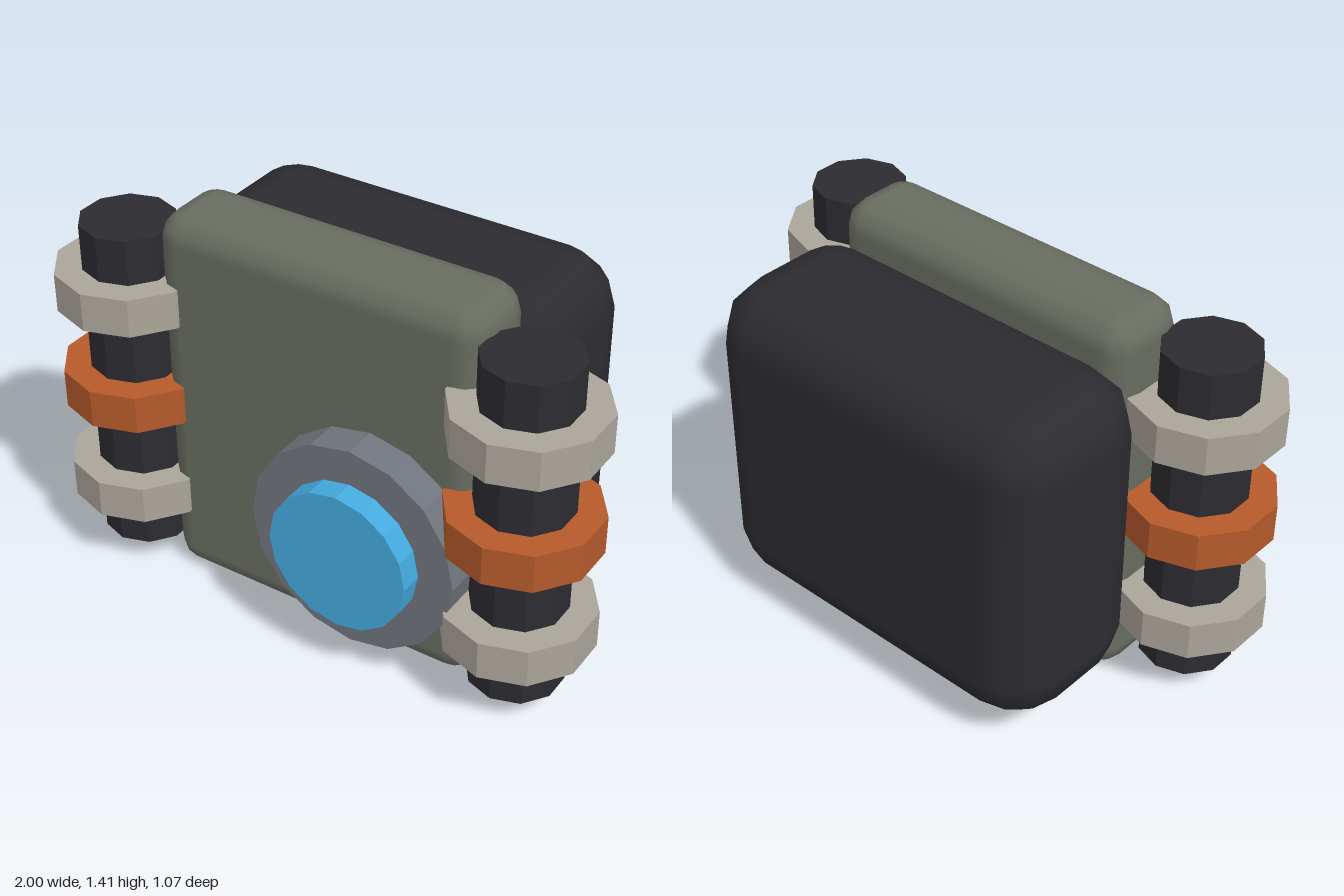
import * as THREE from 'three';

const material = (color, flatShading = true) => new THREE.MeshStandardMaterial({ color, flatShading });

const shell = material(0x686c60, false);
const pack = material(0x2c2b30, false);
const dark = material(0x2c2b30);
const band = material(0xaaa59a);
const orange = material(0xb55a2b);
const steel = material(0x70757d);
const blue = material(0x44aadd);

// Box with rounded edges and corners; each quarter arc has three steps.
function roundedBox(w, h, d, r) {
  const geo = new THREE.PlaneGeometry(1, 1, 16, 9);
  const { position, normal } = geo.attributes;
  const dir = new THREE.Vector3();
  for (let n = 0; n < position.count; n++) {
    const i = (n % 17) % 16;
    const row = Math.floor(n / 17);
    const quadrant = Math.floor(i / 4);
    const phi = (quadrant * 3 + (i % 4)) * Math.PI / 6;
    // Rows 0 and 9 are the centres of the flat top and bottom.
    const cap = row === 0 || row === 9;
    const step = row < 5 ? Math.max(row - 1, 0) : Math.min(row - 2, 6);
    dir.setFromSphericalCoords(1, step * Math.PI / 6, phi);
    const sx = quadrant < 2 ? 1 : -1;
    const sz = quadrant === 0 || quadrant === 3 ? 1 : -1;
    const sy = row < 5 ? 1 : -1;
    position.setXYZ(n,
      cap ? 0 : sx * (w / 2 - r) + dir.x * r,
      sy * (h / 2 - r) + dir.y * r,
      cap ? 0 : sz * (d / 2 - r) + dir.z * r);
    normal.setXYZ(n, dir.x, dir.y, dir.z);
  }
  return geo;
}

function add(parent, name, geometry, mat, x, y, z) {
  const mesh = new THREE.Mesh(geometry, mat);
  mesh.name = name;
  mesh.position.set(x, y, z);
  parent.add(mesh);
  return mesh;
}

export function createModel() {
  const model = new THREE.Group();
  model.name = 'equipmentPack';

  // Front plate and the large pack behind it
  add(model, 'frontPlate', roundedBox(1.22, 1.41, 0.325, 0.1), shell, 0, 0.705, 0.17);
  add(model, 'rearPack', roundedBox(1.41, 1.18, 0.62, 0.2), pack, 0, 0.71, -0.225);

  // Side canisters with three bands each
  for (const side of [-1, 1]) {
    const canister = new THREE.Group();
    canister.name = side > 0 ? 'leftCanister' : 'rightCanister';
    canister.position.set(side * 0.754, 0, 0.266);
    add(canister, 'tube', new THREE.CylinderGeometry(0.164, 0.164, 1.22, 10), dark, 0, 0.71, 0);
    const ring = new THREE.CylinderGeometry(0.259, 0.259, 0.138, 10);
    add(canister, 'lowerBand', ring, band, 0, 0.333, 0);
    add(canister, 'middleBand', ring, orange, 0, 0.71, 0);
    add(canister, 'upperBand', ring, band, 0, 1.088, 0);
    model.add(canister);
  }

  // Round dial on the front plate
  const dial = new THREE.Group();
  dial.name = 'dial';
  dial.position.set(0.235, 0.498, 0);
  const disc = (name, radius, back, front, mat) => {
    const geo = new THREE.CylinderGeometry(radius, radius, front - back, 16).rotateX(Math.PI / 2);
    add(dial, name, geo, mat, 0, 0, (front + back) / 2);
  };
  disc('dialRim', 0.383, 0.29, 0.453, steel);
  disc('dialLens', 0.257, 0.4, 0.535, blue);
  model.add(dial);

  return model;
}
